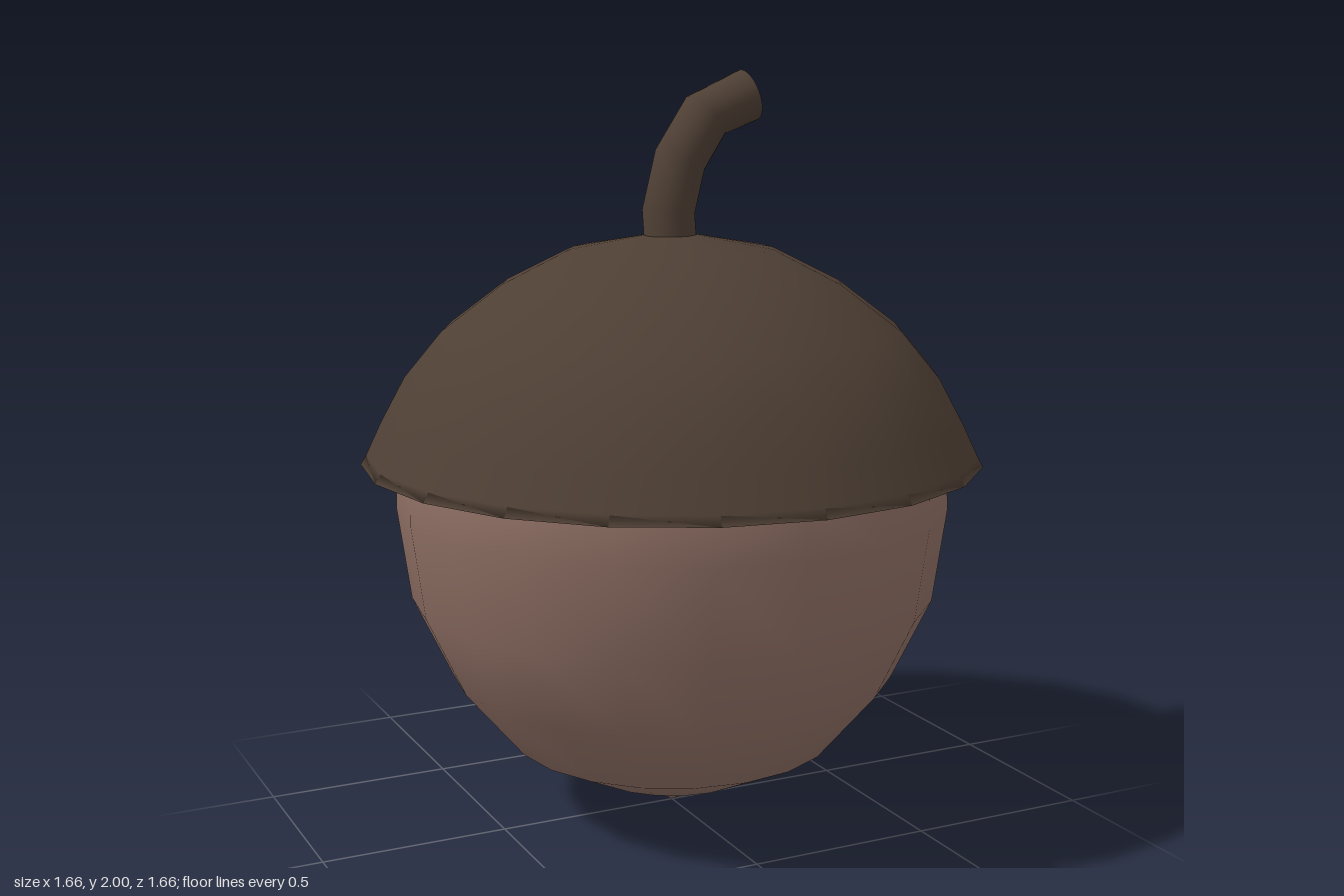
import * as THREE from 'three';

const SIDES = 20;

// Smooth solid of revolution from [radius, height] pairs, listed bottom to top
function turned(name, profile, material) {
  const points = profile.map(([r, y]) => new THREE.Vector2(r, y));
  const mesh = new THREE.Mesh(new THREE.LatheGeometry(points, SIDES), material);
  mesh.name = name;
  return mesh;
}

export function createModel() {
  const group = new THREE.Group();
  group.name = 'acorn';
  const nutMaterial = new THREE.MeshStandardMaterial({ color: 0x8d6e63 });
  const capMaterial = new THREE.MeshStandardMaterial({ color: 0x4e3f34, side: THREE.DoubleSide });

  // Nut with a pointed tip, running up inside the cap
  group.add(turned('nut', [
    [0, 0], [0.11, 0.065], [0.235, 0.1], [0.44, 0.2], [0.6, 0.39],
    [0.705, 0.61], [0.74, 0.86], [0.735, 0.99], [0.69, 1.13], [0, 1.2],
  ], nutMaterial));

  // Domed cap: hollow underside, thin rim, then the outer dome
  group.add(turned('cap', [
    [0.73, 1.11], [0.83, 0.98], [0.815, 1.005], [0.775, 1.09], [0.71, 1.21],
    [0.61, 1.33], [0.45, 1.45], [0.27, 1.54], [0.06, 1.577], [0, 1.58],
  ], capMaterial));

  // Bent stem, leaning to the model's left
  const path = new THREE.CatmullRomCurve3([
    [0, 1.5], [-0.01, 1.64], [0.03, 1.785], [0.117, 1.9], [0.224, 1.936],
  ].map(([x, y]) => new THREE.Vector3(x, y, 0)));
  const radius = 0.07;
  const stem = new THREE.Mesh(new THREE.TubeGeometry(path, 4, radius, SIDES), capMaterial);
  stem.name = 'stem';
  group.add(stem);

  // Flat cut end of the stem
  const stemEnd = new THREE.Mesh(new THREE.CircleGeometry(radius, SIDES), capMaterial);
  stemEnd.name = 'stemEnd';
  stemEnd.position.copy(path.getPointAt(1));
  stemEnd.quaternion.setFromUnitVectors(new THREE.Vector3(0, 0, 1), path.getTangentAt(1));
  group.add(stemEnd);

  return group;
}
